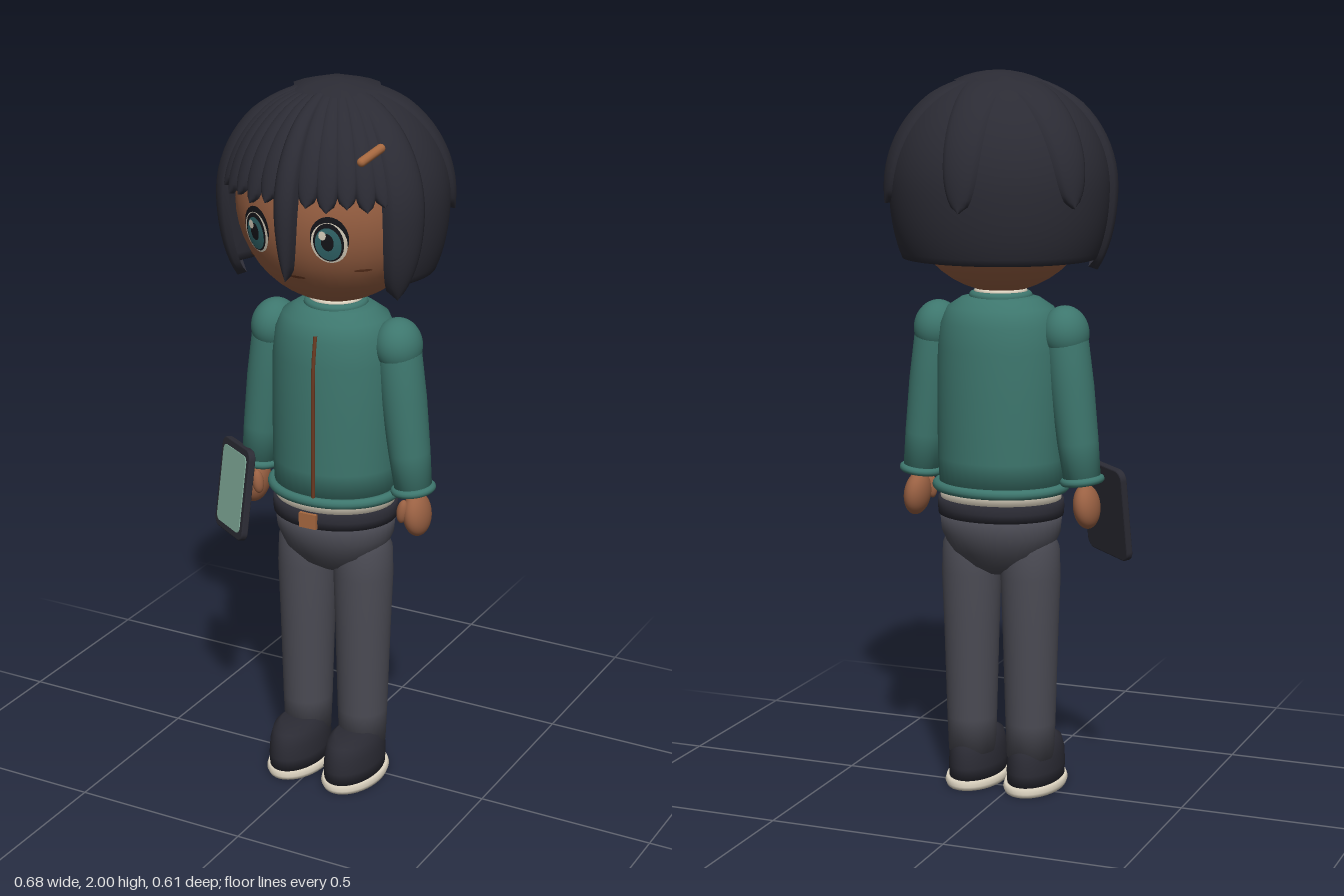
import * as THREE from 'three';

const V = (x, y, z) => new THREE.Vector3(x, y, z);
const mat = (name, color, side = THREE.FrontSide) => {
  const m = new THREE.MeshStandardMaterial({ color, side });
  m.name = name;
  return m;
};

// smooth surface from a rule f(u, v), outward normal = du x dv
function grid(nu, nv, f) {
  const pos = [], idx = [];
  for (let j = 0; j <= nv; j++)
    for (let i = 0; i <= nu; i++) pos.push(...f(i / nu, j / nv).toArray());
  for (let j = 0; j < nv; j++)
    for (let i = 0; i < nu; i++) {
      const a = j * (nu + 1) + i, c = a + nu + 1;
      idx.push(a, a + 1, c, a + 1, c + 1, c);
    }
  const g = new THREE.BufferGeometry();
  g.setAttribute('position', new THREE.Float32BufferAttribute(pos, 3));
  g.setIndex(idx);
  g.computeVertexNormals();
  return g;
}

const lathe = (pts, sx = 1, sz = 1) =>
  new THREE.LatheGeometry(pts.map(p => new THREE.Vector2(p[0], p[1])), 40).scale(sx, 1, sz);
const ring = (r, tube, sz) =>
  new THREE.TorusGeometry(r, tube, 12, 48).rotateX(Math.PI / 2).scale(1, 1, sz);
const ball = (rx, ry, rz) => new THREE.SphereGeometry(1, 32, 24).scale(rx, ry, rz);

function roundedRect(w, h, r) {
  const s = new THREE.Shape(), x = w / 2 - r, y = h / 2 - r;
  s.absarc(x, y, r, 0, Math.PI / 2);
  s.absarc(-x, y, r, Math.PI / 2, Math.PI);
  s.absarc(-x, -y, r, Math.PI, Math.PI * 1.5);
  s.absarc(x, -y, r, Math.PI * 1.5, Math.PI * 2);
  return s;
}

// head and hair volumes
const HEAD = { y: 1.69, rx: 0.268, ry: 0.285, rz: 0.262 };
const HAIR_Y = 1.69, HAIR_H = 0.305;
const polar = y => Math.acos((y - HAIR_Y) / HAIR_H);
const spread = t => (t < Math.PI / 2 ? Math.sin(t) : Math.sqrt(Math.sin(t)));
const hairPoint = (az, t, off = 0) => V(
  Math.sin(az) * spread(t) * (0.3 + off),
  HAIR_Y + Math.cos(t) * (HAIR_H + off * 0.4),
  Math.cos(az) * spread(t) * (0.283 + off) - 0.01);

// raised lock of hair lying on the hair volume
function lock(az, half, t0, t1, thick, point, parallel) {
  return grid(12, 24, (u, v) => {
    const t = t0 + (t1 - t0) * v, k = 1 - 2 * u;
    let a = half * Math.sqrt(Math.max(0, 1 - Math.pow(v, point)));
    if (parallel) a = Math.min(a / spread(t), 0.55);
    return hairPoint(az + k * a, t, -0.004 + thick * Math.sqrt(Math.max(0, 1 - k * k)) * Math.min(1, 0.4 + v * 3));
  });
}

// thin elliptical plate following the face
const facePatch = (cx, cy, rx, ry, off) => grid(28, 5, (u, v) => {
  const a = u * Math.PI * 2, r = 1 - v;
  const x = cx + Math.cos(a) * rx * r, y = cy + Math.sin(a) * ry * r;
  const q = 1 - (x / HEAD.rx) ** 2 - ((y - HEAD.y) / HEAD.ry) ** 2;
  return V(x, y, HEAD.rz * Math.sqrt(Math.max(0, q)) + off);
});

export function createModel() {
  const skin = mat('skin', 0x9a6143);
  const dark = mat('charcoal', 0x2b2b34, THREE.DoubleSide);
  const teal = mat('teal knit', 0x3d766d);
  const grey = mat('grey trousers', 0x4b4b54);
  const cream = mat('cream', 0xdcd3c0);
  const copper = mat('copper', 0xa6683f);
  const brown = mat('zip brown', 0x6b3a22);
  const glass = mat('screen green', 0x86b29f);
  const iris = mat('iris teal', 0x33696d);
  const black = mat('pupil black', 0x15151a);

  const root = new THREE.Group();
  const body = new THREE.Group();
  body.name = 'figure';
  body.position.x = 0.033;
  root.add(body);
  const add = (name, geo, m, x = 0, y = 0, z = 0, parent = body) => {
    const mesh = new THREE.Mesh(geo, m);
    mesh.name = name;
    mesh.position.set(x, y, z);
    parent.add(mesh);
    return mesh;
  };

  // head, neck and face
  add('head', ball(HEAD.rx, HEAD.ry, HEAD.rz), skin, 0, HEAD.y, 0);
  add('neck', new THREE.CylinderGeometry(0.055, 0.06, 0.12, 24), skin, 0, 1.4, 0);
  add('mouth', facePatch(0, 1.52, 0.024, 0.004, 0.003), brown);
  for (const s of [-1, 1]) {
    const x = s * 0.106;
    add('lash', facePatch(x, 1.645, 0.046, 0.058, 0.003), black);
    add('eyeWhite', facePatch(x, 1.632, 0.043, 0.056, 0.006), cream);
    add('irisRim', facePatch(x, 1.634, 0.036, 0.053, 0.008), black);
    add('iris', facePatch(x, 1.63, 0.031, 0.045, 0.01), iris);
    add('pupil', facePatch(x, 1.636, 0.015, 0.024, 0.012), black);
    add('eyeGlint', facePatch(x - 0.01, 1.655, 0.009, 0.012, 0.014), cream);
    add('cheekMark', facePatch(s * 0.165, 1.548, 0.018, 0.004, 0.003), brown);
  }

  // hair shell, short over the face, turned under at the rim
  add('hairShell', grid(96, 32, (u, v) => {
    const az = Math.PI * (1 - 2 * u);
    const k = THREE.MathUtils.smoothstep(Math.abs(az), 0.9, 1.08);
    const end = polar(1.77 - 0.27 * k);
    const rim = v > 0.98;
    return hairPoint(az, end * Math.min(1, v * 32 / 31), rim ? -0.05 : 0);
  }), dark);
  const rad = Math.PI / 180;
  const top = 0.36;
  add('crown', grid(6, 4, (u, v) => hairPoint((30 - 360 * u) * rad, v * 0.43, 0.018)), dark);
  add('backLock', lock(Math.PI, 0.2, top, polar(1.64), 0.017, 5, true), dark);
  add('frontTuft', lock(0, 0.13, top, polar(1.53), 0.034, 2.6), dark);
  for (const s of [-1, 1]) {
    add('rearSideLock', lock(s * 120 * rad, 0.23, top, polar(1.65), 0.02, 4, true), dark);
    add('sideLock', lock(s * 62 * rad, 0.23, top, polar(1.47), 0.03, 5), dark);
    [11, 21, 31, 41, 50].forEach((d, i) =>
      add('fringeLock', lock(s * d * rad, 0.115, top, polar(1.725 - 0.01 * (i % 2)), 0.016, 9), dark));
  }
  const clip = add('hairClip', new THREE.CapsuleGeometry(0.012, 0.06, 6, 12), copper, 0.2, 1.862, 0.19);
  clip.quaternion.setFromUnitVectors(V(0, 1, 0), V(0.043, 0.04, -0.055).normalize());

  // jacket
  add('jacket', lathe([[0, 0.86], [0.172, 0.86], [0.177, 0.95], [0.178, 1.12], [0.176, 1.25],
    [0.168, 1.32], [0.148, 1.365], [0.11, 1.39], [0.07, 1.4], [0, 1.4]], 1, 0.875), teal);
  add('hem', ring(0.179, 0.014, 0.87), teal, 0, 0.87, 0);
  add('collar', ring(0.074, 0.013, 1), teal, 0, 1.395, 0);
  add('shirtCollar', ring(0.064, 0.009, 1), cream, 0, 1.408, 0);
  add('shirtHem', lathe([[0, 0.83], [0.17, 0.83], [0.17, 0.865], [0, 0.865]], 1, 0.87), cream);
  const zipPath = new THREE.CatmullRomCurve3([V(0.014, 0.87, 0.155), V(0.014, 1.1, 0.156),
    V(0.014, 1.25, 0.154), V(0.014, 1.34, 0.142)]);
  add('zip', new THREE.TubeGeometry(zipPath, 24, 0.0055, 8), brown);

  // belt and trousers
  add('belt', lathe([[0, 0.79], [0.176, 0.79], [0.178, 0.812], [0.176, 0.836], [0, 0.836]], 1, 0.88), dark);
  add('buckle', new THREE.BoxGeometry(0.052, 0.042, 0.012), copper, 0, 0.814, 0.158);
  add('hips', lathe([[0, 0.615], [0.05, 0.622], [0.1, 0.648], [0.145, 0.69], [0.168, 0.74],
    [0.174, 0.8], [0, 0.8]], 1, 0.83), grey);

  const arms = {};
  for (const s of [-1, 1]) {
    // legs and shoes
    add('leg', lathe([[0, 0.1], [0.066, 0.1], [0.07, 0.2], [0.077, 0.45], [0.083, 0.62],
      [0.08, 0.7], [0.06, 0.75], [0, 0.77]], 1, 1.04), grey, s * 0.088, 0, 0);
    add('shoe', lathe([[0, 0.022], [0.98, 0.022], [1, 0.06], [0.97, 0.1], [0.87, 0.132],
      [0.65, 0.147], [0, 0.148]], 0.074, 0.128), dark, s * 0.088, 0, 0.045);
    add('sole', lathe([[0, 0], [0.95, 0], [1, 0.012], [0.95, 0.026], [0, 0.026]], 0.083, 0.137),
      cream, s * 0.088, 0, 0.042);

    // arms, hanging slightly outward
    const arm = arms[s] = new THREE.Group();
    arm.name = s > 0 ? 'leftArm' : 'rightArm';
    arm.position.set(s * 0.188, 1.3, 0);
    arm.rotation.z = s * 0.125;
    body.add(arm);
    add('sleeve', lathe([[0, -0.41], [0.05, -0.41], [0.056, -0.3], [0.061, -0.15], [0.06, 0],
      [0.045, 0.045], [0, 0.06]], 1, 1.08), teal, 0, 0, 0, arm);
    add('shoulder', ball(0.064, 0.075, 0.072), teal, 0, 0, 0, arm);
    add('cuff', ring(0.05, 0.011, 1.08), teal, 0, -0.405, 0, arm);
    add('hand', ball(0.035, 0.062, 0.054), skin, 0.004 * s, -0.478, 0, arm);
    const thumb = add('thumb', ball(0.016, 0.034, 0.017), skin, -0.02 * s, -0.46, 0.038, arm);
    thumb.rotation.z = -0.25 * s;
  }

  // tablet held in the right hand
  const tablet = new THREE.Group();
  tablet.name = 'tablet';
  tablet.position.set(-0.293, 0.812, 0.05);
  tablet.rotation.set(-0.15, -0.65, 0.07, 'YXZ');
  body.add(tablet);
  add('tabletCase', new THREE.ExtrudeGeometry(roundedRect(0.185, 0.255, 0.024),
    { depth: 0.012, bevelThickness: 0.004, bevelSize: 0.004, bevelSegments: 3, curveSegments: 8 }),
    dark, 0, 0, -0.006, tablet);
  add('tabletScreen', new THREE.ExtrudeGeometry(roundedRect(0.158, 0.222, 0.018),
    { depth: 0.003, bevelEnabled: false, curveSegments: 8 }), glass, 0, 0, 0.0095, tablet);
  return root;
}
